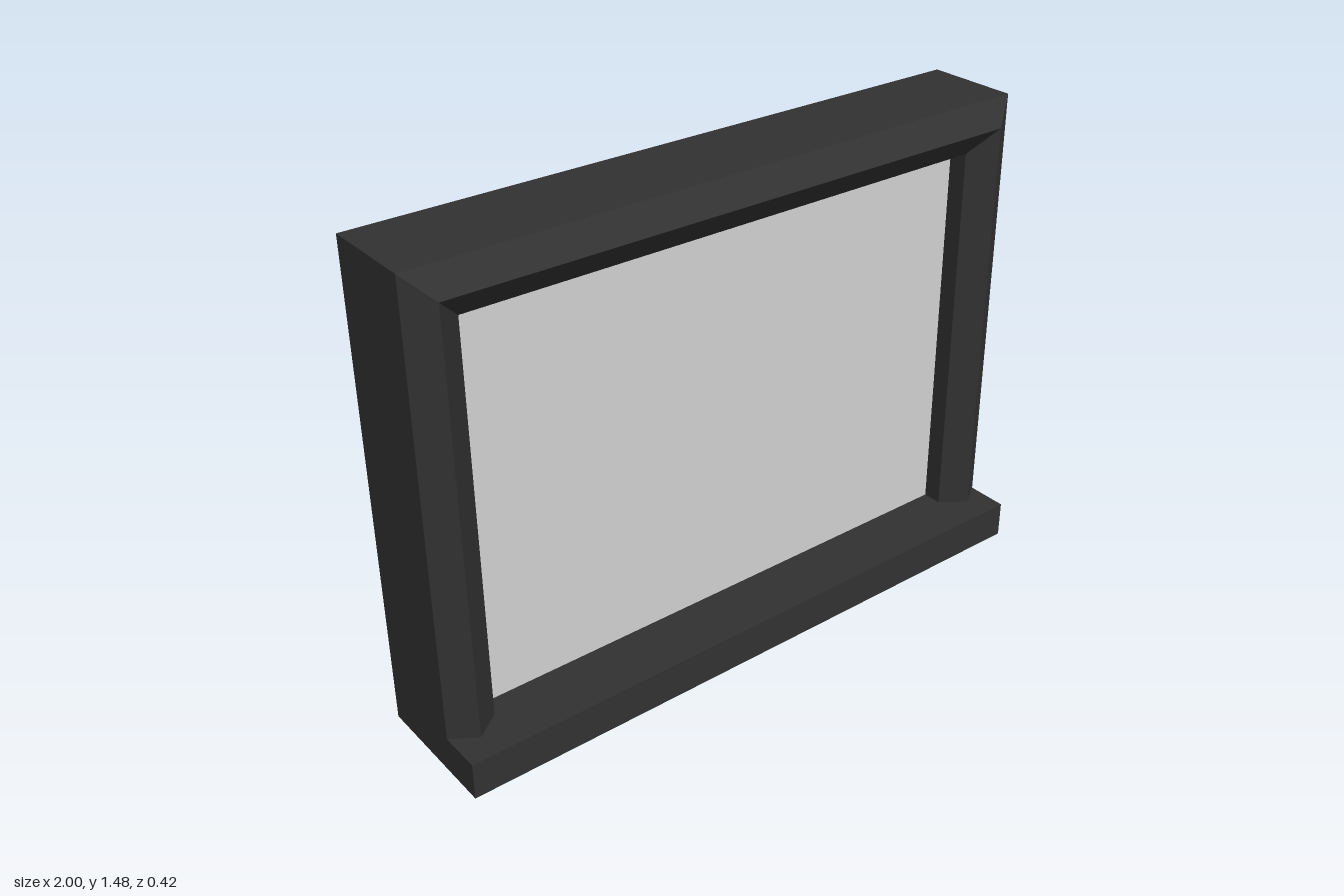
import * as THREE from 'three';

const frameMat = new THREE.MeshStandardMaterial({ color: 0x323232 });
frameMat.name = 'dark frame';
const glassMat = new THREE.MeshStandardMaterial({ color: 0xd2d2d2 });
glassMat.name = 'pale glass';

const TOP = 1.475, SILL = 0.115, BACK = -0.21, FRONT = 0.21, INSET = 0.152;

// Sweeps an [inset, z] profile up the left jamb, across the head and down the right jamb with mitred corners
function mitredFrame(profile) {
  const stations = [
    (i) => [-1 + i, SILL], (i) => [-1 + i, TOP - i],
    (i) => [1 - i, TOP - i], (i) => [1 - i, SILL],
  ];
  const point = (s, p) => {
    const [inset, z] = profile[p % profile.length];
    return [...stations[s](inset), z];
  };
  const positions = [];
  for (let s = 0; s < stations.length - 1; s++) {
    for (let p = 0; p < profile.length; p++) {
      const a = point(s, p), b = point(s, p + 1), c = point(s + 1, p + 1), d = point(s + 1, p);
      positions.push(...a, ...b, ...c, ...a, ...c, ...d);
    }
  }
  const geo = new THREE.BufferGeometry();
  geo.setAttribute('position', new THREE.Float32BufferAttribute(positions, 3));
  geo.computeVertexNormals();
  return geo;
}

function addBox(group, name, material, width, y0, y1, z0, z1) {
  const mesh = new THREE.Mesh(new THREE.BoxGeometry(width, y1 - y0, z1 - z0), material);
  mesh.position.set(0, (y0 + y1) / 2, (z0 + z1) / 2);
  mesh.name = name;
  group.add(mesh);
}

export function createModel() {
  const group = new THREE.Group();
  group.name = 'window';

  // Jambs and head, with a raised ridge around the front
  const frame = new THREE.Mesh(mitredFrame([
    [0, BACK], [0, 0.08], [0.075, 0.13], [INSET, 0.073], [INSET, BACK],
  ]), frameMat);
  frame.name = 'frame';
  group.add(frame);

  // Projecting sill
  addBox(group, 'sill', frameMat, 2, 0, SILL, BACK, FRONT);

  // Glazing set back from both faces
  addBox(group, 'glass', glassMat, 2 * (1 - INSET), SILL, TOP - INSET + 0.005, -0.135, 0.013);

  return group;
}
